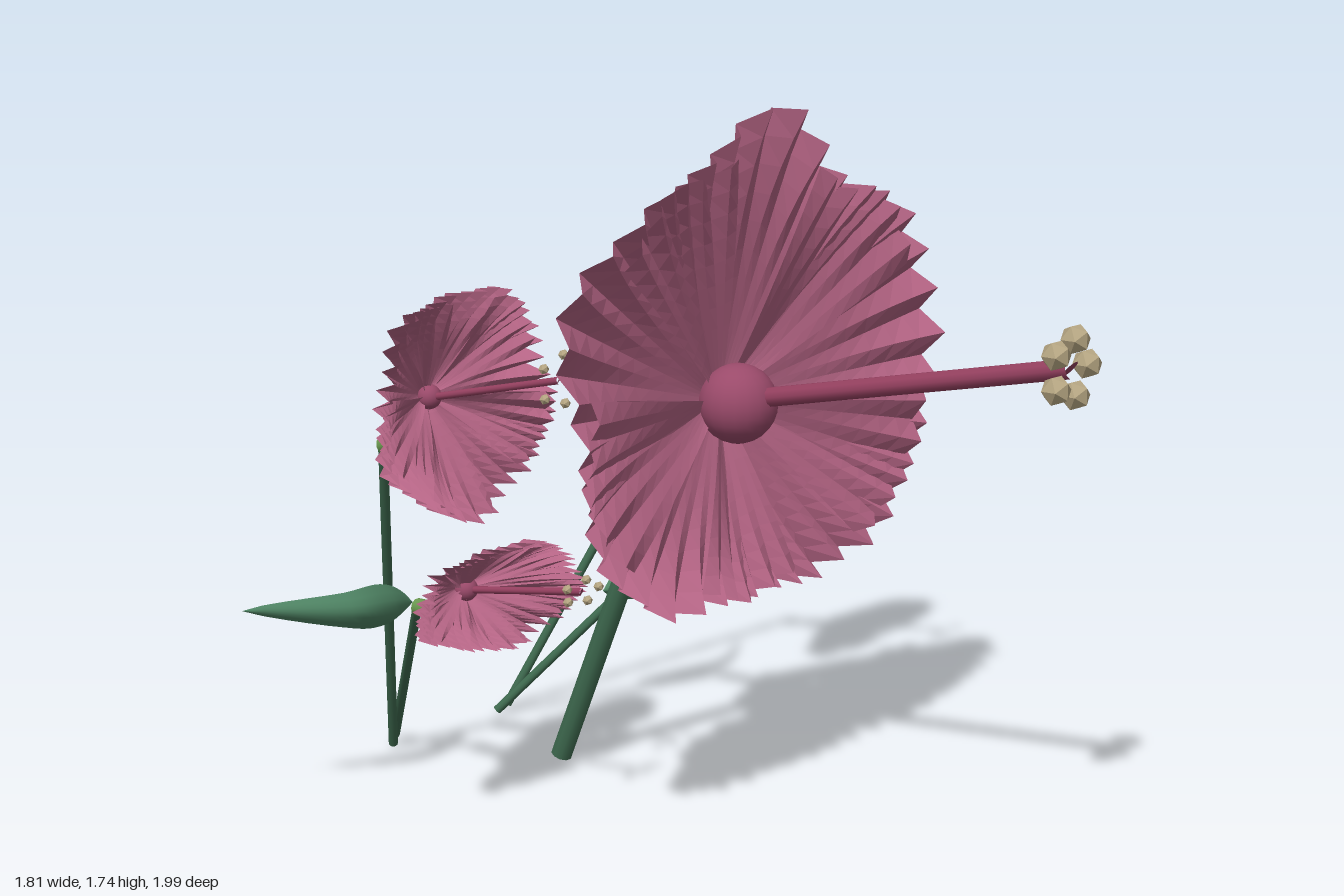
import * as THREE from 'three';

const mat = (color, extra = {}) => new THREE.MeshStandardMaterial({ color, ...extra });
const V = (x, y, z) => new THREE.Vector3(x, y, z);
const DEG = Math.PI / 180;

const petalMat = mat(0xb46484, { side: THREE.DoubleSide, flatShading: true });
const coreMat = mat(0x9a4a6a);
const stamenMat = mat(0x94405f);
const antherMat = mat(0xb5a582, { flatShading: true });
const calyxMat = mat(0x6a9a50);
const stemMat = mat(0x3f6b50);
const leafMat = mat(0x4f8464, { side: THREE.DoubleSide });

function add(parent, name, geometry, material, position) {
  const mesh = new THREE.Mesh(geometry, material);
  mesh.name = name;
  if (position) mesh.position.copy(position);
  parent.add(mesh);
  return mesh;
}

// Straight or curved round rod with closed ends
function rod(parent, name, points, radius, material) {
  const curve = new THREE.CatmullRomCurve3(points);
  const steps = points.length > 2 ? 8 : 1;
  add(parent, name, new THREE.TubeGeometry(curve, steps, radius, 10), material);
  [0, 1].forEach((t) => {
    const cap = add(parent, name + 'End', new THREE.CircleGeometry(radius, 10), material, curve.getPoint(t));
    cap.lookAt(curve.getPoint(t).addScaledVector(curve.getTangent(t), t ? 1 : -1));
  });
}

// Rim radius at an angle, eased between evenly spaced radii
function rimRadius(radii, angle) {
  const n = radii.length;
  const s = ((((angle - 12 * DEG) / (2 * Math.PI)) % 1) + 1) % 1 * n;
  const i = Math.floor(s);
  const f = (1 - Math.cos((s - i) * Math.PI)) / 2;
  return radii[i % n] * (1 - f) + radii[(i + 1) % n] * f;
}

// One wide petal: cupped forward along both sides, sharply pleated towards the tip
function petalGeometry(radii, middle, seed) {
  const columns = 24;
  const g = new THREE.PlaneGeometry(2, 1, columns, 10);
  const p = g.attributes.position;
  for (let i = 0; i < p.count; i++) {
    const column = i % (columns + 1);
    const v = p.getX(i);
    const u = 0.04 + 0.96 * (p.getY(i) + 0.5);
    const angle = middle + v * 58 * DEG;
    const fold = (column % 2 ? 1 : -1) * (0.8 + 0.2 * Math.sin(column * 2.3 + seed));
    const pleat = fold * u ** 4 * (1 - 0.65 * v * v);
    const sides = 1 - 0.2 * Math.max(0, Math.abs(v) - 0.6);
    const r = rimRadius(radii, angle) * u * sides * (1 + 0.012 * pleat);
    const z = 0.1 * u + 0.035 * u ** 4 * (1 - v * v) + 0.06 * v * v * Math.sqrt(u) + 0.04 * pleat + 0.005 * v * u;
    p.setXYZ(i, r * Math.cos(angle), r * Math.sin(angle), z);
  }
  g.computeVertexNormals();
  return g;
}

// Flower head, opening towards +z
function flower(o) {
  const head = new THREE.Group();
  head.name = o.name;
  head.position.copy(o.at);
  const bloom = new THREE.Group();
  bloom.name = 'petals';
  bloom.scale.set(1, o.squash, 1);
  head.add(bloom);
  for (let k = 0; k < 5; k++) {
    add(bloom, 'petal', petalGeometry(o.radii, (12 + 72 * k) * DEG, k * 1.3), petalMat);
  }
  add(head, 'core', new THREE.SphereGeometry(o.core, 20, 14), coreMat, V(0, 0, o.core * 0.7));

  // Long stamen with a ring of five anthers
  const tip = o.tip.clone().sub(o.at);
  rod(head, 'stamen', [V(0, 0, 0.03), tip], o.stamen, stamenMat);
  for (let k = 0; k < 5; k++) {
    const a = (74 + 72 * k) * DEG;
    add(head, 'anther', new THREE.IcosahedronGeometry(o.anther, 0), antherMat,
      tip.clone().add(V(Math.cos(a) * o.ring, Math.sin(a) * o.ring * o.squash, 0)));
  }
  return head;
}

// Lance-shaped leaf, bowed along its length and cupped across
function leaf(name, points, halfWidth) {
  const curve = new THREE.CatmullRomCurve3(points);
  const g = new THREE.PlaneGeometry(1, 2, 16, 6);
  const p = g.attributes.position;
  for (let i = 0; i < p.count; i++) {
    const t = p.getX(i) + 0.5;
    const v = p.getY(i);
    const w = Math.sin(Math.PI * t ** 0.85) ** 0.8;
    const c = curve.getPoint(t);
    p.setXYZ(i, c.x, c.y + halfWidth * w * v, c.z - 0.04 * v * v * w);
  }
  g.computeVertexNormals();
  const mesh = new THREE.Mesh(g, leafMat);
  mesh.name = name;
  return mesh;
}

export function createModel() {
  const model = new THREE.Group();
  model.name = 'flowers';

  // Large flower in the middle
  const bigRim = [0.71, 0.69, 0.61, 0.72, 0.635, 0.655, 0.75, 0.625, 0.64, 0.58, 0.48, 0.45, 0.515, 0.6, 0.65];
  model.add(flower({
    name: 'largeFlower', at: V(-0.02, 1.02, 0), radii: bigRim, squash: 1, core: 0.098,
    tip: V(0.08, 1.2, 0.96), stamen: 0.024, ring: 0.068, anther: 0.037,
  }));
  rod(model, 'largeCalyx', [V(-0.02, 0.96, 0.01), V(-0.02, 0.91, -0.07), V(-0.02, 0.875, -0.155)], 0.026, calyxMat);
  rod(model, 'largeStem', [V(-0.02, 0.88, -0.15), V(-0.02, 0.01, -0.53)], 0.028, stemMat);

  // Four small flowers: head, stamen tip, top of stem, foot of stem, height of the bloom
  const smallRim = [];
  for (let k = 0; k < 5; k++) smallRim.push(0.29, 0.26, 0.265);
  const small = [
    ['upperLeftFlower', V(0.63, 1.18, -0.41), V(0.66, 1.26, -0.03), V(0.62, 1.03, -0.56), V(0.21, 0.01, -0.95), 1],
    ['upperRightFlower', V(-0.62, 1.07, -0.4), V(-0.575, 1.15, 0), V(-0.62, 0.93, -0.54), V(-0.24, 0.01, -0.93), 1],
    ['lowerLeftFlower', V(0.46, 0.585, -0.4), V(0.5, 0.625, 0.01), V(0.455, 0.5, -0.54), V(0.15, 0.01, -0.93), 0.5],
    ['lowerRightFlower', V(-0.46, 0.56, -0.45), V(-0.42, 0.605, -0.08), V(-0.46, 0.485, -0.6), V(-0.18, 0.01, -0.985), 0.45],
  ];
  for (const [name, at, tip, bend, foot, squash] of small) {
    const radii = at.x < 0 ? smallRim.map((r, i) => smallRim[(i + 1) % 15]) : smallRim;
    model.add(flower({ name, at, radii, squash, core: 0.03, tip, stamen: 0.009, ring: 0.06, anther: 0.013 }));
    const start = V(at.x, at.y - 0.07, at.z + 0.02);
    const mid = start.clone().lerp(bend, 0.5).add(V(0, squash < 1 ? 0 : -0.01, 0));
    rod(model, 'calyx', [start, mid, bend], 0.022, calyxMat);
    rod(model, 'stem', [bend, foot], 0.012, stemMat);
  }

  // A leaf on each lower stem
  model.add(leaf('leftLeaf', [V(0.34, 0.345, -0.71), V(0.48, 0.36, -0.64), V(0.62, 0.375, -0.62), V(0.86, 0.41, -0.76)], 0.06));
  model.add(leaf('rightLeaf', [V(-0.37, 0.46, -0.71), V(-0.5, 0.485, -0.64), V(-0.64, 0.505, -0.62), V(-0.89, 0.535, -0.76)], 0.055));
  return model;
}
